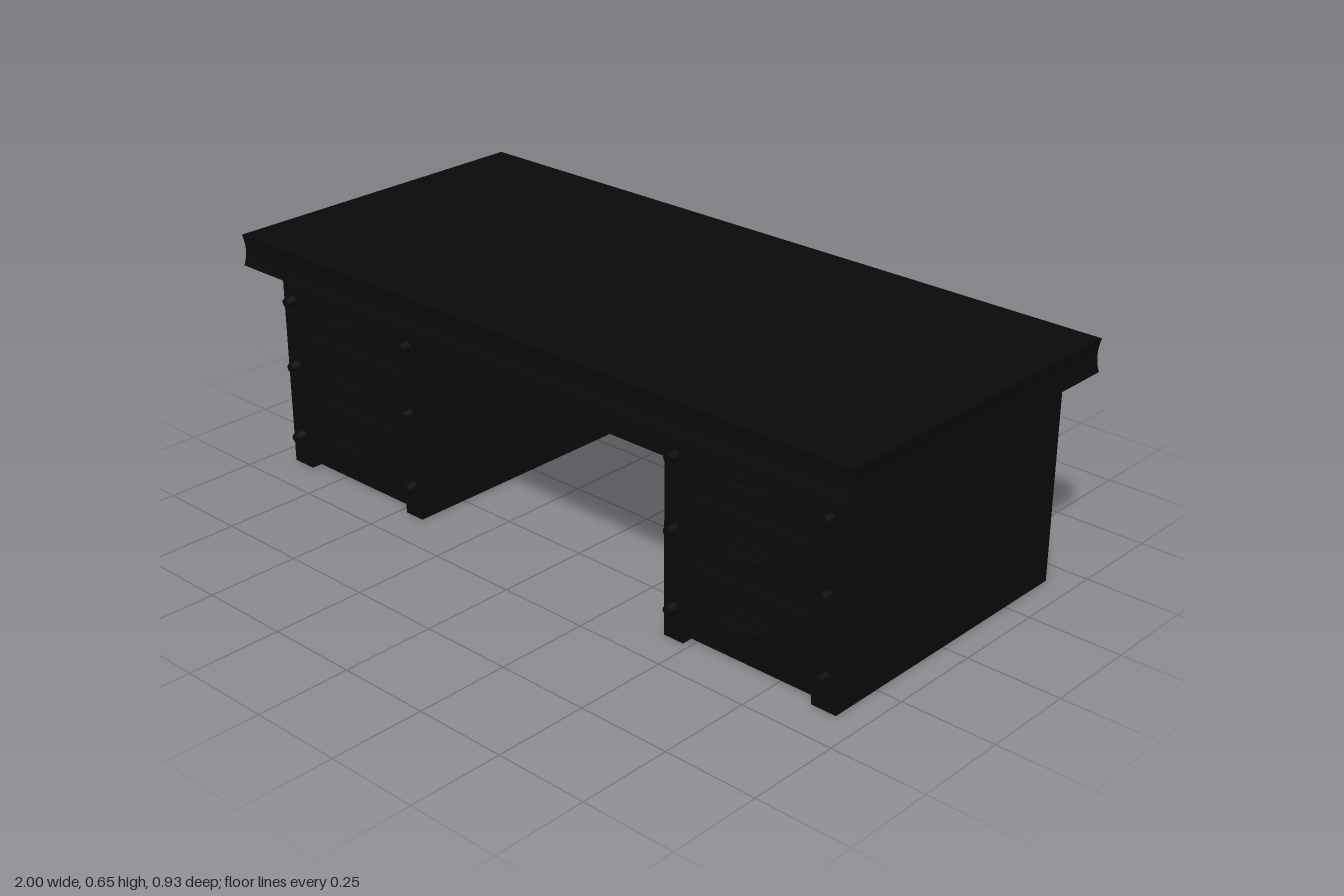
import * as THREE from 'three';

const black = new THREE.MeshStandardMaterial({ color: 0x0a0a0a });

function add(parent, name, geometry, x, y, z) {
  const mesh = new THREE.Mesh(geometry, black);
  mesh.name = name;
  mesh.position.set(x, y, z);
  parent.add(mesh);
  return mesh;
}

// Box given by its low and high corners
function block(parent, name, [x0, y0, z0], [x1, y1, z1]) {
  const geo = new THREE.BoxGeometry(x1 - x0, y1 - y0, z1 - z0);
  return add(parent, name, geo, (x0 + x1) / 2, (y0 + y1) / 2, (z0 + z1) / 2);
}

// Tabletop slab whose edge is gently hollowed between its upper and lower rims
function tabletopGeometry(w, h, d) {
  const geo = new THREE.BoxGeometry(w, h, d, 1, 6, 1);
  const p = geo.attributes.position;
  for (let i = 0; i < p.count; i++) {
    const t = p.getY(i) / (h / 2);
    const inset = 0.005 * (1 - t * t);
    p.setX(i, p.getX(i) - Math.sign(p.getX(i)) * inset);
    p.setZ(i, p.getZ(i) - Math.sign(p.getZ(i)) * inset);
  }
  geo.computeVertexNormals();
  return geo;
}

// Drawer pull: backplate, two posts and a grip bar
function drawerPull(parent, x, y) {
  const pull = new THREE.Group();
  pull.name = 'drawerPull';
  block(pull, 'pullPlate', [-0.055, -0.023, 0], [0.055, 0.023, 0.008]);
  for (const s of [-1, 1]) {
    block(pull, 'pullPost', [s * 0.042 - 0.006, -0.012, 0.008], [s * 0.042 + 0.006, 0.012, 0.04]);
  }
  block(pull, 'pullGrip', [-0.05, -0.014, 0.036], [0.05, 0.014, 0.05]);
  pull.position.set(x, y, 0.375);
  parent.add(pull);
}

// Drawer pedestal; side is +1 for the left one and -1 for the right one
function pedestal(side) {
  const group = new THREE.Group();
  group.name = side > 0 ? 'leftPedestal' : 'rightPedestal';
  const span = (name, a, b, y0, y1, z0, z1) =>
    block(group, name, [Math.min(side * a, side * b), y0, z0], [Math.max(side * a, side * b), y1, z1]);

  span('pedestalCase', 0.42, 0.93, 0, 0.566, -0.425, 0.365);

  // Front posts with round studs
  for (const [a, b] of [[0.42, 0.48], [0.86, 0.93]]) {
    span('frontPost', a, b, 0, 0.566, 0.365, 0.395);
    for (const y of [0.085, 0.29, 0.475]) {
      const stud = add(group, 'postStud', new THREE.CylinderGeometry(0.012, 0.016, 0.025, 12),
        side * (a + b) / 2, y, 0.407);
      stud.rotation.x = Math.PI / 2;
    }
  }

  // Three drawers with narrow gaps between them
  const seams = [0.03, 0.21, 0.385, 0.56];
  const pullHeights = [0.115, 0.295, 0.465];
  for (let i = 0; i < 3; i++) {
    span('drawerFront', 0.485, 0.855, seams[i] + 0.005, seams[i + 1] - 0.005, 0.36, 0.376);
    drawerPull(group, side * 0.67, pullHeights[i]);
  }
  return group;
}

export function createModel() {
  const desk = new THREE.Group();
  desk.name = 'desk';
  add(desk, 'tabletop', tabletopGeometry(2, 0.085, 0.925), 0, 0.6075, 0);
  desk.add(pedestal(1), pedestal(-1));
  // Panel closing the back of the kneehole
  block(desk, 'backPanel', [-0.42, 0, -0.425], [0.42, 0.566, -0.3]);
  return desk;
}
